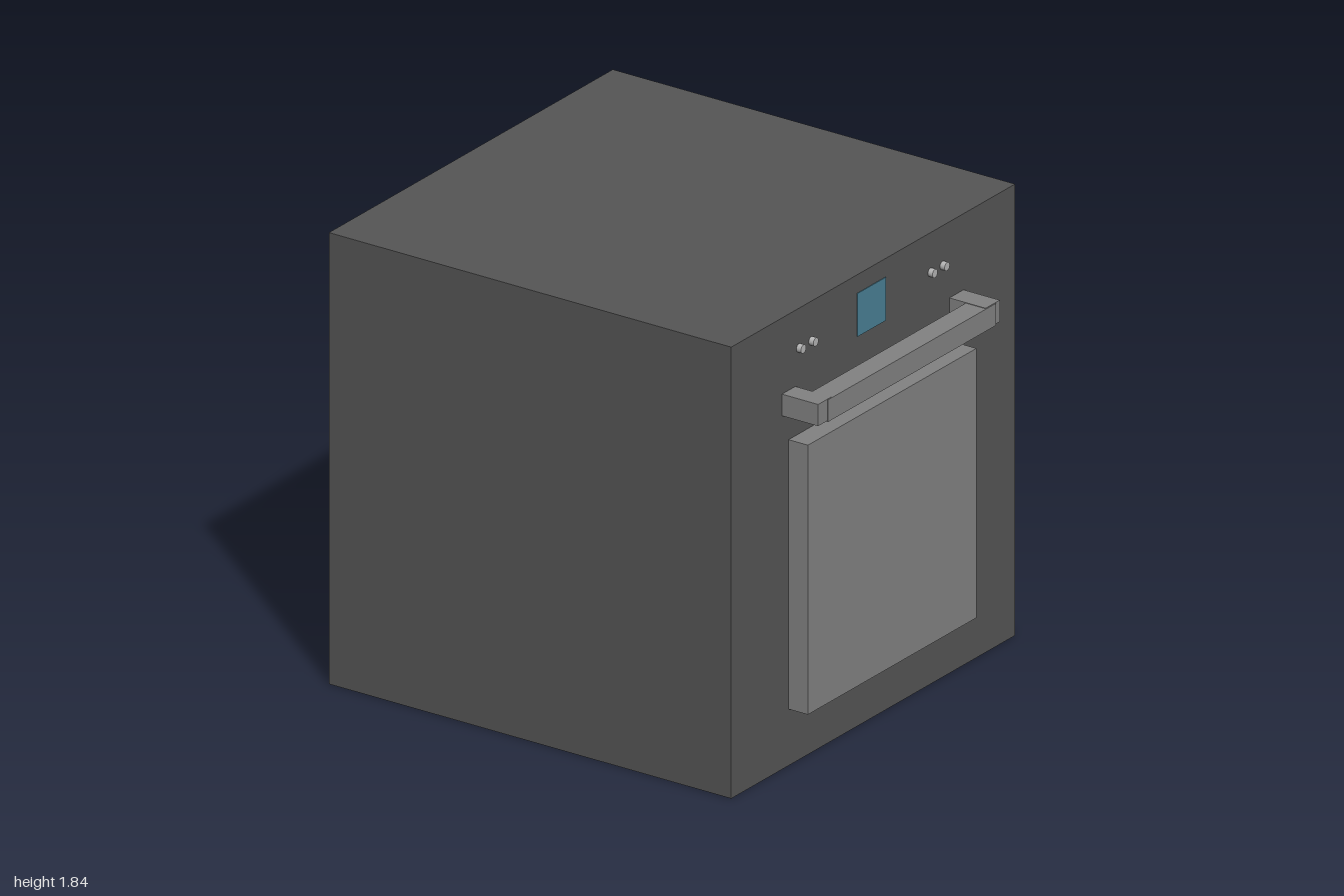
import * as THREE from 'three';

const material = (color) => new THREE.MeshStandardMaterial({ color });

// Box given by its min and max corners
function box(name, mat, [x0, y0, z0], [x1, y1, z1]) {
  const mesh = new THREE.Mesh(new THREE.BoxGeometry(x1 - x0, y1 - y0, z1 - z0), mat);
  mesh.position.set((x0 + x1) / 2, (y0 + y1) / 2, (z0 + z1) / 2);
  mesh.name = name;
  return mesh;
}

export function createModel() {
  const model = new THREE.Group();
  model.name = 'oven';
  const dark = material(0x555555);
  const grey = material(0x828282);
  const light = material(0xb4b4b4);
  const blue = material(0x4a8095);
  const face = 0.832; // front plane of the body

  model.add(box('body', dark, [-0.918, 0, -1], [0.918, 1.838, face]));
  model.add(box('doorPanel', grey, [-0.547, 0.23, face - 0.02], [0.543, 1.327, 0.92]));
  model.add(box('display', blue, [-0.105, 1.587, face - 0.02], [0.08, 1.763, face + 0.003]));

  // Handle: two brackets joined by a bar
  const handle = new THREE.Group();
  handle.name = 'handle';
  handle.add(
    box('leftBracket', grey, [0.493, 1.44, face - 0.02], [0.585, 1.528, 0.997]),
    box('rightBracket', grey, [-0.59, 1.44, face - 0.02], [-0.503, 1.528, 0.997]),
    box('handleBar', grey, [-0.53, 1.436, 0.907], [0.557, 1.526, 1])
  );
  model.add(handle);

  // Small round control knobs in two pairs
  const knobGeometry = new THREE.CylinderGeometry(0.017, 0.017, 0.04, 24).rotateX(Math.PI / 2);
  for (const x of [-0.48, -0.4, 0.371, 0.449]) {
    const knob = new THREE.Mesh(knobGeometry, light);
    knob.name = 'knob';
    knob.position.set(x, 1.677, face + 0.001);
    model.add(knob);
  }
  return model;
}
